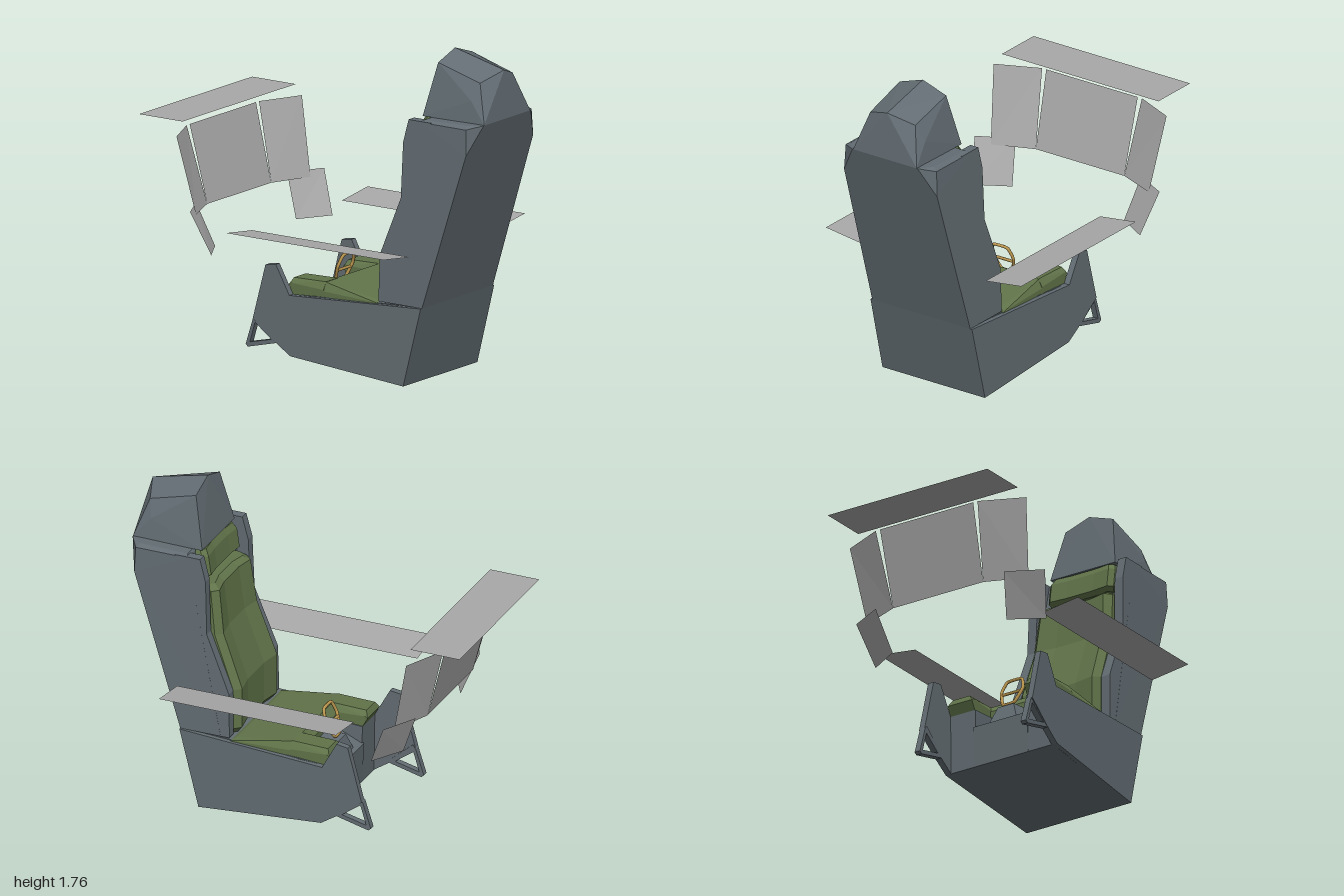
import * as THREE from 'three';
import { ConvexGeometry } from 'three/addons/geometries/ConvexGeometry.js';

const paint = (name, color, extra = {}) => {
  const m = new THREE.MeshStandardMaterial({ color, ...extra });
  m.name = name;
  return m;
};

export function createModel() {
  const model = new THREE.Group();
  model.name = 'cockpitSeat';
  const shellGrey = paint('shellGrey', 0x626c72);
  const cushionGreen = paint('cushionGreen', 0x607349);
  const handleTan = paint('handleTan', 0xc09a50);
  const panelGrey = paint('panelGrey', 0xa8a8a8, { side: THREE.DoubleSide });

  const add = (name, geometry, material) => {
    const mesh = new THREE.Mesh(geometry, material);
    mesh.name = name;
    model.add(mesh);
    return mesh;
  };

  // Side profile of [z, y] points, extruded from x0 to x1; taper(y, z) scales x
  const slab = (profile, x0, x1, taper = () => 1, hole = null) => {
    const pts = (list) => list.map(([z, y]) => new THREE.Vector2(z, y));
    const shape = new THREE.Shape(pts(profile));
    if (hole) shape.holes.push(new THREE.Path(pts(hole)));
    const g = new THREE.ExtrudeGeometry(shape, { depth: x1 - x0, bevelEnabled: false });
    g.rotateY(-Math.PI / 2).translate(x1, 0, 0);
    const p = g.attributes.position;
    for (let i = 0; i < p.count; i++) p.setX(i, p.getX(i) * taper(p.getY(i), p.getZ(i)));
    g.computeVertexNormals();
    return g;
  };

  // Faceted solid around points; every point is mirrored in x when asked
  const hull = (points, mirrored = true) => new ConvexGeometry(points.flatMap(([x, y, z]) => {
    const v = new THREE.Vector3(x, y, z);
    return mirrored && x !== 0 ? [v, new THREE.Vector3(-x, y, z)] : [v];
  }));

  const sides = [['left', 1], ['right', -1]];
  const span = (s, a, b) => (s > 0 ? [a, b] : [-b, -a]);
  const baseTaper = (y, z) => 1 - 0.07 * (z + 0.15) / 0.83;
  const backTaper = (y) => 1 - 0.07 * (y - 0.43);

  // Seat base: body, front blocks either side of a sloping centre notch
  add('baseBody', slab([[0.57, 0], [0.68, 0.43], [0.4, 0.42], [0, 0.4], [0, 0.053], [0.02, 0.05]],
    -0.325, 0.325, baseTaper), shellGrey);
  add('notchFloor', slab([[0.01, 0.36], [-0.15, 0.29], [-0.14, 0.065], [0.01, 0.05]],
    -0.17, 0.17), shellGrey);
  add('pedestal', hull([[0.1, 0.3, 0], [0.1, 0.26, -0.14], [0.05, 0.4, 0], [0.05, 0.39, -0.1]]), shellGrey);

  const plate = [[0.57, 0], [0.68, 0.43], [-0.145, 0.39], [-0.23, 0.545], [-0.295, 0.535],
    [-0.375, 0.235], [-0.23, 0.125], [-0.14, 0.065]];
  const bracket = [[-0.36, 0.255], [-0.378, 0.235], [-0.425, 0.09], [-0.41, 0.078], [-0.22, 0.125], [-0.25, 0.16]];
  const bracketHole = [[-0.365, 0.215], [-0.398, 0.105], [-0.26, 0.138]];
  const rim = [[0.6, 1.425], [0.578, 1.425], [0.545, 1.3], [0.535, 1.0], [0.405, 0.68], [0.4, 0.43],
    [0.5, 0.43], [0.62, 1.0], [0.72, 1.425]];

  for (const [side, s] of sides) {
    add(`${side}FrontBlock`, slab([[0.01, 0.4], [-0.145, 0.39], [-0.14, 0.065], [0.01, 0.05]],
      ...span(s, 0.16, 0.325)), shellGrey);
    add(`${side}BasePlate`, slab(plate, ...span(s, 0.318, 0.352), baseTaper), shellGrey);
    add(`${side}FootBracket`, slab(bracket, ...span(s, 0.318, 0.352), () => 1, bracketHole), shellGrey);
    add(`${side}BackRim`, slab(rim, ...span(s, 0.26, 0.315), backTaper), shellGrey);
    // Thigh cushion
    add(`${side}ThighCushion`, hull([
      [0.165, 0.39, 0.05], [0.318, 0.39, 0.05], [0.165, 0.39, -0.145], [0.318, 0.39, -0.145],
      [0.165, 0.44, 0.05], [0.318, 0.44, 0.05], [0.165, 0.45, -0.16], [0.318, 0.45, -0.16],
      [0.165, 0.44, -0.172], [0.318, 0.44, -0.172],
      [0.19, 0.48, 0.05], [0.295, 0.48, 0.05], [0.19, 0.475, -0.155], [0.295, 0.475, -0.155],
    ].map(([x, y, z]) => [x * s, y, z]), false), cushionGreen);
  }

  // Back shell with cut upper corners, and the headrest above it
  add('backShell', hull([[0.316, 0.43, 0.68], [0.3, 1.28, 0.95], [0.21, 1.435, 1.0], [0.293, 1.42, 0.945],
    [0.265, 1.435, 0.93], [0.265, 1.43, 0.66], [0.293, 1.42, 0.65], [0.316, 0.43, 0.45]]), shellGrey);
  add('headrest', hull([[0, 1.69, 0.98], [0.145, 1.64, 0.93], [0.205, 1.435, 1.0], [0.19, 1.55, 0.905],
    [0, 1.765, 0.665], [0.15, 1.715, 0.665], [0.205, 1.43, 0.605]]), shellGrey);

  // Seat cushion
  add('seatCushion', hull([[0.318, 0.39, 0], [0.318, 0.39, 0.4], [0.318, 0.435, 0], [0.318, 0.42, 0.39],
    [0.295, 0.48, 0.04], [0.28, 0.43, 0.37]]), cushionGreen);

  // Cushion lofted from rows of [y, half width, front z, back z], dished in the middle
  const loft = (rows, edge, dish) => {
    const rings = rows.map(([y, w, f, b]) => [[-w, b], [-w, f + edge], [-w + edge, f], [-w * 0.4, f + dish],
      [w * 0.4, f + dish], [w - edge, f], [w, f + edge], [w, b]].map(([x, z]) => [x, y, z]));
    const out = [];
    const n = rings[0].length;
    for (let r = 0; r + 1 < rings.length; r++) {
      for (let i = 0; i < n; i++) {
        const j = (i + 1) % n;
        const [a, b, c, d] = [rings[r][i], rings[r][j], rings[r + 1][j], rings[r + 1][i]];
        out.push(a, d, b, b, d, c);
      }
    }
    for (let i = 1; i + 1 < n; i++) {
      const [lo, hi] = [rings[0], rings[rings.length - 1]];
      out.push(lo[0], lo[i], lo[i + 1], hi[0], hi[i + 1], hi[i]);
    }
    const g = new THREE.BufferGeometry();
    g.setAttribute('position', new THREE.Float32BufferAttribute(out.flat(), 3));
    g.computeVertexNormals();
    return g;
  };
  add('backCushion', loft([[0.42, 0.245, 0.4, 0.5], [0.455, 0.255, 0.37, 0.5], [0.68, 0.255, 0.37, 0.55],
    [0.975, 0.245, 0.48, 0.6], [1.215, 0.23, 0.51, 0.64], [1.24, 0.21, 0.545, 0.64]], 0.035, 0.02), cushionGreen);
  add('headPad', loft([[1.265, 0.19, 0.59, 0.66], [1.285, 0.205, 0.565, 0.66], [1.39, 0.205, 0.58, 0.68],
    [1.425, 0.19, 0.6, 0.68]], 0.025, 0.01), cushionGreen);

  // Pull handle: closed loop with a cross bar
  const loop = [[-0.035, 0.41, -0.075], [-0.068, 0.5, -0.04], [-0.045, 0.565, -0.018],
    [0.045, 0.565, -0.018], [0.068, 0.5, -0.04], [0.035, 0.41, -0.075]].map((p) => new THREE.Vector3(...p));
  add('pullHandle', new THREE.TubeGeometry(new THREE.CatmullRomCurve3(loop, true, 'catmullrom', 0.2), 36, 0.009, 6, true), handleTan);
  const bar = new THREE.CylinderGeometry(0.008, 0.008, 0.12, 6);
  bar.rotateZ(Math.PI / 2).translate(0, 0.48, -0.05);
  add('handleBar', bar, handleTan);

  // Thin display panels from four corners in order around the edge
  const panel = (name, corners) => {
    const [a, b, c, d] = corners;
    const g = new THREE.BufferGeometry();
    g.setAttribute('position', new THREE.Float32BufferAttribute([a, b, c, a, c, d].flat(), 3));
    g.computeVertexNormals();
    add(name, g, panelGrey);
  };
  panel('topPanel', [[-0.505, 1.27, -0.72], [0.505, 1.27, -0.72], [0.505, 1.27, -1], [-0.505, 1.27, -1]]);
  panel('centrePanel', [[-0.285, 0.785, -0.72], [0.285, 0.785, -0.72], [0.295, 1.2, -0.825], [-0.295, 1.2, -0.825]]);
  const sidePanels = {
    UpperPanel: [[0.285, 0.785, -0.72], [0.51, 0.785, -0.63], [0.558, 1.2, -0.72], [0.322, 1.2, -0.825]],
    LowerPanel: [[0.36, 0.59, -0.615], [0.54, 0.59, -0.51], [0.597, 0.82, -0.605], [0.405, 0.82, -0.705]],
    Console: [[0.4, 0.72, 0.66], [0.63, 0.75, 0.66], [0.63, 0.75, -0.35], [0.4, 0.72, -0.35]],
  };
  for (const [side, s] of sides) {
    for (const [name, corners] of Object.entries(sidePanels)) {
      const c = corners.map(([x, y, z]) => [x * s, y, z]);
      panel(side + name, s > 0 ? c : c.reverse());
    }
  }
  return model;
}
